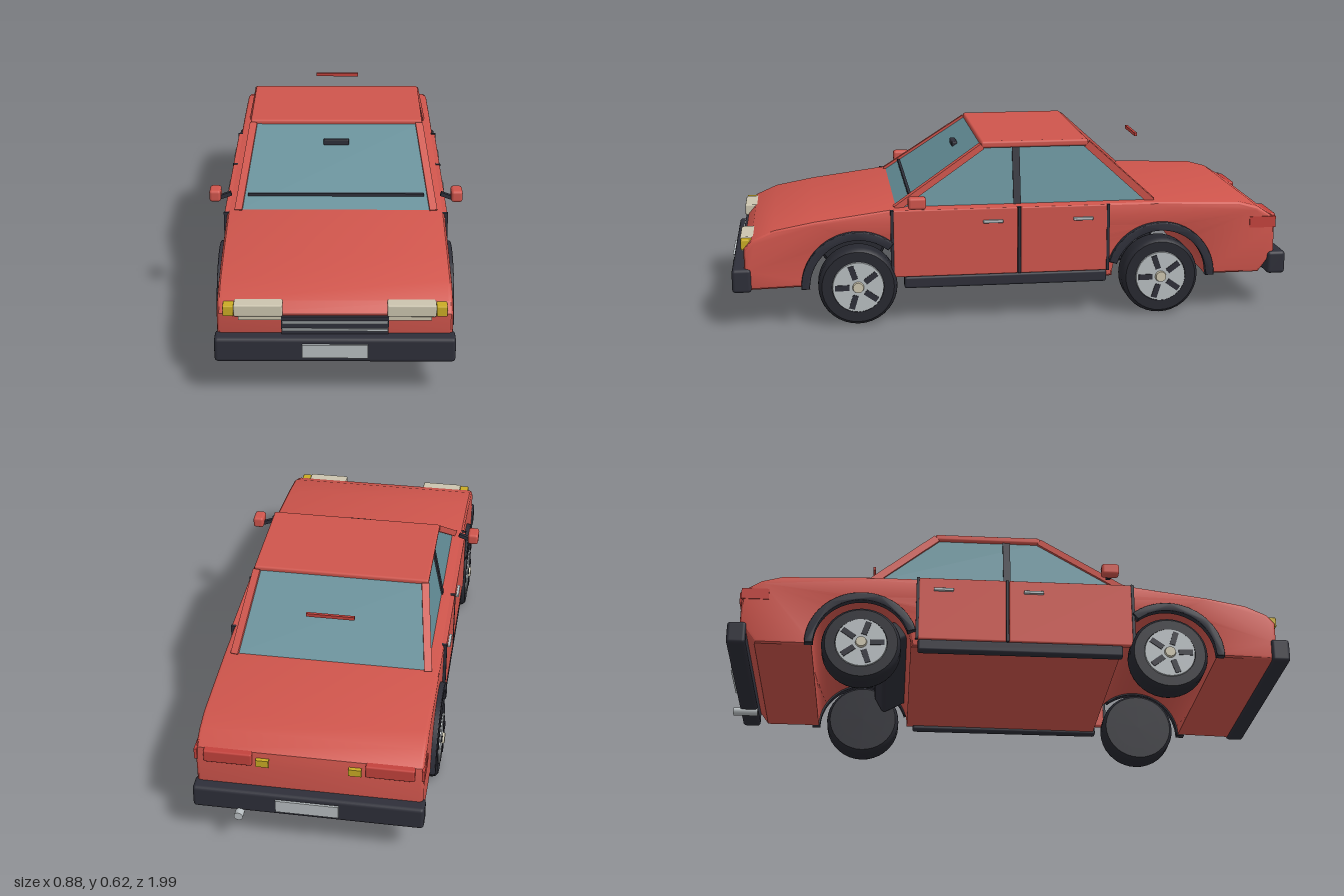
import * as THREE from 'three';
import { toCreasedNormals } from 'three/addons/utils/BufferGeometryUtils.js';
import { RoundedBoxGeometry } from 'three/addons/geometries/RoundedBoxGeometry.js';

const mat = (name, color, side = THREE.FrontSide) => {
  const m = new THREE.MeshStandardMaterial({ color, side });
  m.name = name;
  return m;
};

export function createModel() {
  const car = new THREE.Group();
  car.name = 'car';
  const red = mat('red paint', 0xcf554c);
  const black = mat('black trim', 0x2e2f39);
  const tyreBlack = mat('tyre rubber', 0x272830);
  const glass = mat('window glass', 0x648e98, THREE.DoubleSide);
  const silver = mat('silver', 0xb8bec1);
  const cream = mat('headlight cream', 0xcbc4ae);
  const amber = mat('amber', 0xc9ab25);
  const tailRed = mat('tail light red', 0xc3423c);

  const add = (name, geo, m, x = 0, y = 0, z = 0, parent = car) => {
    const mesh = new THREE.Mesh(geo, m);
    mesh.name = name;
    mesh.position.set(x, y, z);
    parent.add(mesh);
    return mesh;
  };
  const box = (name, w, h, d, m, x, y, z) => add(name, new THREE.BoxGeometry(w, h, d), m, x, y, z);
  const softBox = (name, w, h, d, r, m, x, y, z) => add(name, new RoundedBoxGeometry(w, h, d, 2, r), m, x, y, z);
  // Square bar between two points
  const beam = (name, a, b, w, h, m) => {
    const p = new THREE.Vector3(...a), q = new THREE.Vector3(...b);
    const mesh = box(name, w, h, p.distanceTo(q), m, ...p.clone().add(q).multiplyScalar(0.5));
    mesh.lookAt(q);
    return mesh;
  };
  // Side outline (z, y) extruded across the car and centred on x = 0
  const across = (shape, width, bevel) => {
    const g = new THREE.ExtrudeGeometry(shape, {
      depth: width - 2 * bevel, curveSegments: 24, bevelEnabled: bevel > 0,
      bevelSize: bevel, bevelThickness: bevel, bevelOffset: -bevel, bevelSegments: 3,
    });
    g.translate(0, 0, -(width / 2 - bevel));
    g.rotateY(-Math.PI / 2);
    return toCreasedNormals(g, 0.5);
  };

  const AXLE_Y = 0.14, FRONT = 0.555, REAR = -0.515;

  // Lower body with wheel arches cut through
  const body = new THREE.Shape();
  body.moveTo(-0.88, 0.135);
  body.lineTo(REAR - 0.17, 0.135);
  body.absarc(REAR, AXLE_Y, 0.17, Math.PI, 0, true);
  body.lineTo(FRONT - 0.17, 0.135);
  body.absarc(FRONT, AXLE_Y, 0.17, Math.PI, 0, true);
  [[0.925, 0.135], [0.943, 0.2], [0.943, 0.28], [0.915, 0.313], [0.84, 0.346], [0.7, 0.372], [0.434, 0.407],
    [-0.5, 0.407], [-0.8, 0.397], [-0.87, 0.378], [-0.925, 0.343], [-0.935, 0.3], [-0.935, 0.21]]
    .forEach(([z, y]) => body.lineTo(z, y));
  add('body', across(body, 0.75, 0.015), red);

  // Greenhouse glass: front, rear and two sides
  const base = { x: 0.335, y: 0.405, f: 0.42, r: -0.49 }, top = { x: 0.292, y: 0.61, f: 0.115, r: -0.265 };
  const quad = (name, a, b, c, d) => {
    const g = new THREE.BufferGeometry();
    g.setAttribute('position', new THREE.Float32BufferAttribute([...a, ...b, ...c, ...a, ...c, ...d], 3));
    g.computeVertexNormals();
    add(name, g, glass);
  };
  const corner = (l, s, end) => [s * l.x, l.y, l[end]];
  quad('windscreen', corner(base, -1, 'f'), corner(base, 1, 'f'), corner(top, 1, 'f'), corner(top, -1, 'f'));
  quad('rearWindow', corner(base, 1, 'r'), corner(base, -1, 'r'), corner(top, -1, 'r'), corner(top, 1, 'r'));
  quad('leftWindows', corner(base, 1, 'f'), corner(base, 1, 'r'), corner(top, 1, 'r'), corner(top, 1, 'f'));
  quad('rightWindows', corner(base, -1, 'r'), corner(base, -1, 'f'), corner(top, -1, 'f'), corner(top, -1, 'r'));

  softBox('roof', 0.615, 0.024, 0.38, 0.008, red, 0, 0.613, -0.075);
  box('wiper', 0.61, 0.01, 0.01, black, 0, 0.443, 0.367);
  softBox('rearViewMirror', 0.09, 0.02, 0.02, 0.004, black, 0, 0.567, 0.182);
  box('highBrakeLight', 0.165, 0.012, 0.01, tailRed, 0, 0.595, -0.485);

  // Half ring over a wheel, cut short where it meets the door
  const flare = (start, end) => {
    const s = new THREE.Shape();
    s.absarc(0, 0, 0.195, start, end, false);
    s.absarc(0, 0, 0.165, end, start, true);
    return across(s, 0.028, 0.004);
  };
  // Wheel parts, all turned about x
  const tyreProfile = [[0.088, -0.047], [0.125, -0.047], [0.134, -0.039], [0.137, -0.028],
    [0.137, 0.028], [0.134, 0.039], [0.125, 0.047], [0.09, 0.047], [0.088, 0.036]]
    .map(([r, h]) => new THREE.Vector2(r, h));
  const tyreGeo = toCreasedNormals(new THREE.LatheGeometry(tyreProfile, 36), 0.6);
  const wheel = (name, s, z) => {
    const g = new THREE.Group();
    g.name = name;
    g.position.set(s * 0.346, AXLE_Y, z);
    g.rotation.z = -s * Math.PI / 2;
    car.add(g);
    add('tyre', tyreGeo, tyreBlack, 0, 0, 0, g);
    add('wheelBack', new THREE.CylinderGeometry(0.09, 0.09, 0.07, 32), tyreBlack, 0, -0.01, 0, g);
    add('rim', new THREE.CylinderGeometry(0.088, 0.09, 0.014, 32), silver, 0, 0.044, 0, g);
    for (let i = 0; i < 5; i++) {
      const a = i * Math.PI * 2 / 5 + 0.3;
      const slot = add('rimSlot', new THREE.BoxGeometry(0.05, 0.006, 0.02), black,
        Math.cos(a) * 0.055, 0.051, Math.sin(a) * 0.055, g);
      slot.rotation.y = -a;
    }
    add('hubCap', new THREE.CylinderGeometry(0.018, 0.022, 0.016, 20), cream, 0, 0.052, 0, g);
  };

  for (const s of [1, -1]) {
    const side = s > 0 ? 'left' : 'right';
    // Pillars
    beam(side + 'FrontPillar', [s * 0.336, 0.402, 0.42], [s * 0.296, 0.608, 0.112], 0.026, 0.022, red);
    beam(side + 'RearPillar', [s * 0.336, 0.402, -0.49], [s * 0.296, 0.608, -0.262], 0.026, 0.026, red);
    beam(side + 'MiddlePillar', [s * 0.335, 0.402, -0.008], [s * 0.294, 0.606, -0.008], 0.026, 0.012, black);

    // Doors, gaps, handles and sill
    softBox(side + 'FrontDoor', 0.022, 0.238, 0.434, 0.005, red, s * 0.373, 0.286, 0.213);
    softBox(side + 'RearDoor', 0.022, 0.238, 0.306, 0.005, red, s * 0.373, 0.286, -0.169);
    for (const z of [0.434, -0.01, -0.325])
      box(side + 'DoorGap', 0.022, 0.238, 0.01, black, s * 0.375, 0.286, z);
    for (const z of [0.083, -0.235])
      softBox(side + 'DoorHandle', 0.012, 0.011, 0.07, 0.003, silver, s * 0.388, 0.358, z);
    softBox(side + 'Sill', 0.035, 0.042, 0.715, 0.008, black, s * 0.366, 0.146, 0.036);

    // Wheels and arch trim
    wheel(side + 'FrontWheel', s, FRONT);
    wheel(side + 'RearWheel', s, REAR);
    add(side + 'FrontArch', flare(-0.02, 2.27), black, s * 0.379, AXLE_Y, FRONT);
    add(side + 'RearArch', flare(0.3, Math.PI + 0.02), black, s * 0.379, AXLE_Y, REAR);

    // Door mirror
    softBox(side + 'Mirror', 0.04, 0.042, 0.062, 0.01, red, s * 0.42, 0.439, 0.35);
    beam(side + 'MirrorArm', [s * 0.365, 0.44, 0.35], [s * 0.405, 0.425, 0.35], 0.014, 0.014, black);

    // Lamps
    softBox(side + 'Headlight', 0.155, 0.04, 0.05, 0.005, cream, s * 0.243, 0.295, 0.93);
    box(side + 'HeadlightLip', 0.135, 0.014, 0.03, cream, s * 0.238, 0.268, 0.935);
    softBox(side + 'FrontIndicator', 0.034, 0.036, 0.045, 0.004, amber, s * 0.338, 0.293, 0.93);
    softBox(side + 'TailLight', 0.16, 0.046, 0.035, 0.006, tailRed, s * 0.266, 0.322, -0.927);
    box(side + 'TailLightSide', 0.01, 0.04, 0.095, tailRed, s * 0.373, 0.322, -0.888);
    box(side + 'RearIndicator', 0.042, 0.026, 0.03, amber, s * 0.152, 0.312, -0.928);
  }

  // Grille
  box('grille', 0.34, 0.062, 0.03, black, 0, 0.243, 0.937);
  for (const y of [0.256, 0.23]) box('grilleBar', 0.335, 0.007, 0.008, silver, 0, y, 0.954);

  // Bumpers and number plates
  softBox('frontBumper', 0.765, 0.084, 0.066, 0.012, black, 0, 0.171, 0.953);
  softBox('rearBumper', 0.765, 0.082, 0.066, 0.012, black, 0, 0.171, -0.943);
  box('frontPlate', 0.208, 0.046, 0.009, silver, 0, 0.172, 0.989);
  box('rearPlate', 0.208, 0.046, 0.009, silver, 0, 0.172, -0.979);

  // Exhaust and fuel tank underneath
  const pipe = add('exhaust', new THREE.CylinderGeometry(0.015, 0.015, 0.09, 16), silver, 0.225, 0.126, -0.955);
  pipe.rotation.x = Math.PI / 2;
  const tank = softBox('fuelTank', 0.6, 0.08, 0.11, 0.015, black, 0, 0.225, -0.41);
  tank.rotation.x = -0.5;

  return car;
}
